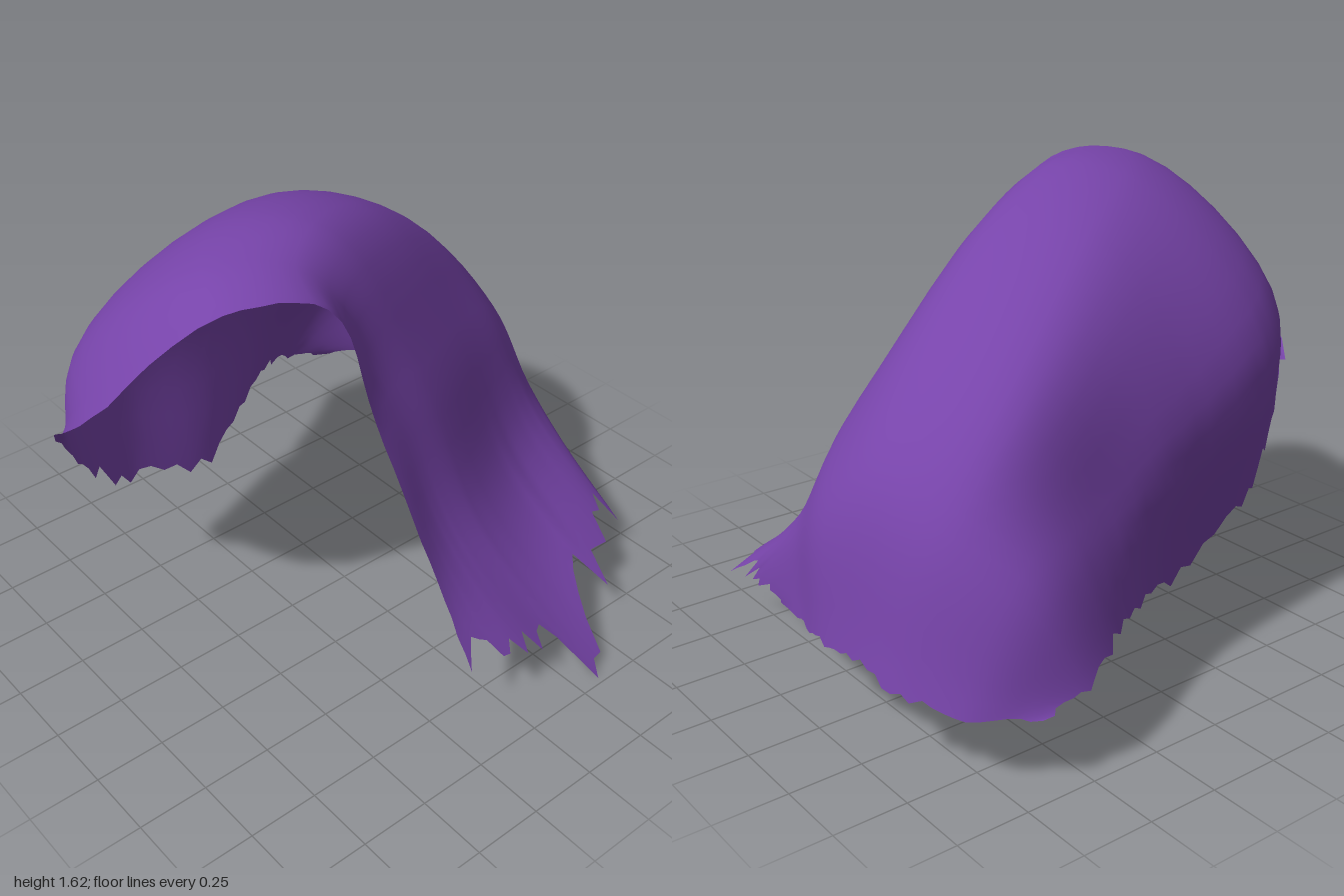
import * as THREE from 'three';
import { ParametricGeometry } from 'three/addons/geometries/ParametricGeometry.js';

// Cross-sections from the open mouth to the far hem; each runs front hem, over the ridge, to back hem.
const sections = [
  [[-.18, .25, .87], [-.16, .56, .63], [-.24, 1.06, .44], [-.4, 1.52, .41], [-.7, 1.56, .3], [-1, 1.18, .01], [-.95, .9, -.36]],
  [[.04, .22, .86], [-.02, .56, .55], [-.14, 1.1, .39], [-.35, 1.57, .27], [-.6, 1.58, .05], [-.83, 1.14, -.38], [-.81, .64, -.43]],
  [[.34, 0, .98], [.18, .5, .52], [.05, 1.09, .33], [-.15, 1.58, .12], [-.35, 1.56, -.2], [-.55, 1.06, -.6], [-.58, .41, -.52]],
  [[.6, .14, .78], [.52, .5, .35], [.4, 1.04, .15], [.2, 1.46, -.07], [.03, 1.42, -.44], [-.1, .89, -.7], [-.17, .26, -.6]],
  [[.87, .18, .58], [.79, .52, .19], [.73, .9, -.03], [.6, 1.17, -.29], [.48, 1.1, -.65], [.25, .75, -.75], [.22, .37, -.83]],
  [[.88, .21, .41], [.9, .52, .03], [.93, .7, -.19], [.88, .83, -.42], [.8, .77, -.7], [.64, .63, -.88], [.47, .3, -.97]],
  [[.91, .26, .15], [.965, .3, -.1], [1, .31, -.28], [.99, .31, -.45], [.955, .28, -.65], [.85, .25, -.84], [.66, .25, -.97]]
].map(s => new THREE.CatmullRomCurve3(s.map(p => new THREE.Vector3(...p))));

const U = 42, V = 36;

// Repeatable value from 0 to 1 for ragged edges
const hash = n => {
  const s = Math.sin(n * 127.1 + 3.7) * 43758.5453;
  return s - Math.floor(s);
};

// Point on the sheet, with its hems trimmed unevenly near the edges only
function sheetPoint(u, v, target) {
  const col = Math.round(u * U), row = Math.round(v * V);
  const tip = col === U / 3;
  const front = tip ? 0 : 0.06 * hash(col);
  const back = 0.02 * hash(col + 90);
  const vv = v + front * (1 - v) ** 8 - back * v ** 8;
  const uu = u - 0.012 * hash(row + 200) * u ** 8 + 0.008 * hash(row + 300) * (1 - u) ** 8;
  const across = new THREE.CatmullRomCurve3(sections.map(c => c.getPoint(vv)));
  target.copy(across.getPoint(uu));
}

export function createModel() {
  const group = new THREE.Group();
  group.name = 'raggedHood';

  // Single thin arched sheet
  const geometry = new ParametricGeometry(sheetPoint, U, V);
  geometry.computeVertexNormals();
  const sheet = new THREE.Mesh(geometry, new THREE.MeshStandardMaterial({ color: 0x7744aa, side: THREE.DoubleSide }));
  sheet.name = 'hoodSheet';
  group.add(sheet);
  return group;
}
